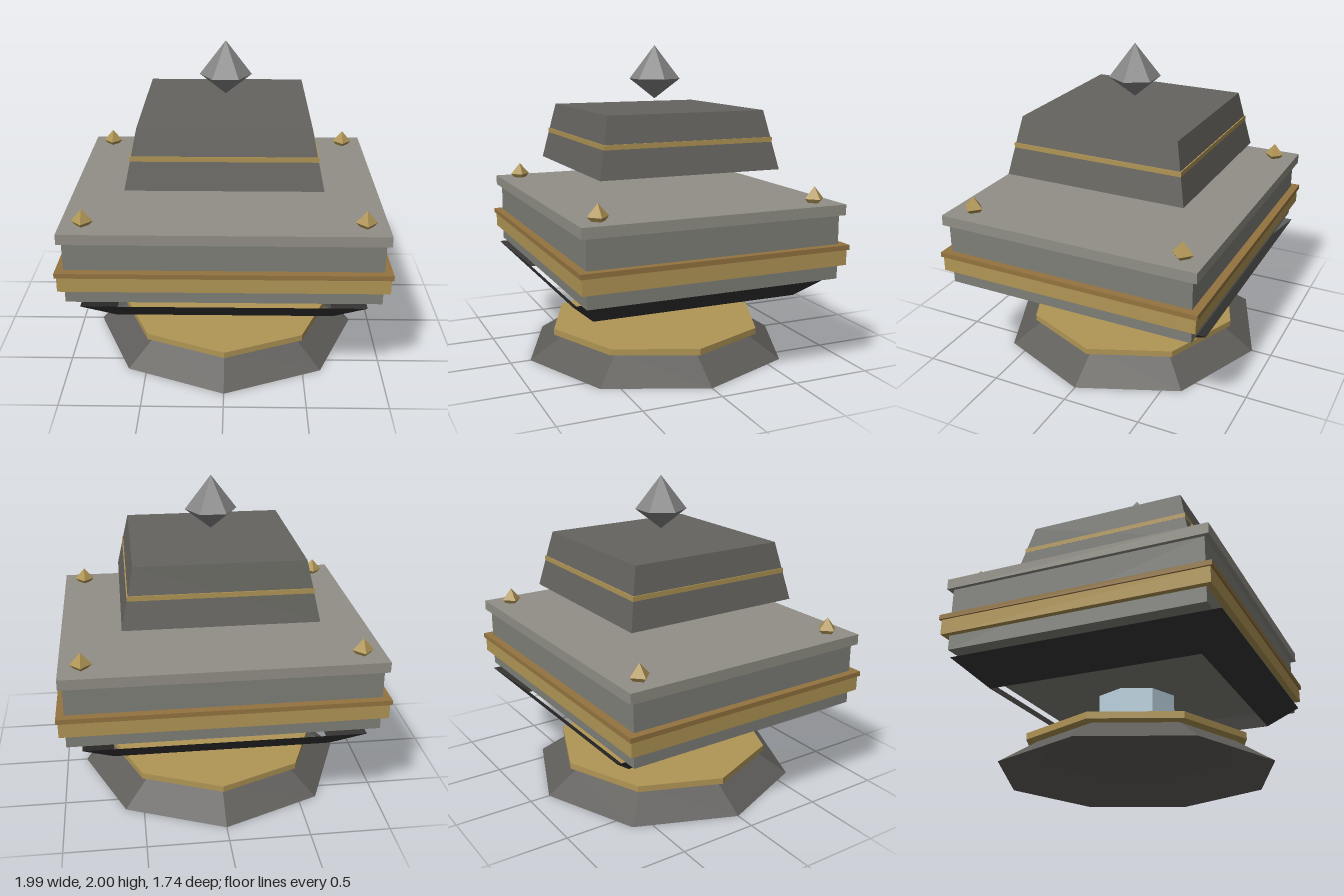
import * as THREE from 'three';

const mat = (color) => new THREE.MeshStandardMaterial({ color, flatShading: true, side: THREE.DoubleSide });
const gold = mat(0xb09555);
const darkGold = mat(0x947440);
const stone = mat(0x7f7f79);
const paleStone = mat(0x918f86);
const darkStone = mat(0x65645f);
const baseStone = mat(0x5f5d5a);
const blackStone = mat(0x353433);
const ice = mat(0xbcd3e0);
const crystal = mat(0x858585);

export function createModel() {
  const model = new THREE.Group();

  const add = (name, geometry, material) => {
    const mesh = new THREE.Mesh(geometry, material);
    mesh.name = name;
    model.add(mesh);
    return mesh;
  };

  // Faceted solid from a [radius, y] profile running bottom to top
  const faceted = (name, sides, profile, material, turn = 0) => {
    const points = profile.map(([r, y]) => new THREE.Vector2(r, y));
    return add(name, new THREE.LatheGeometry(points, sides).rotateY(turn), material);
  };

  // Square version, where the profile gives half the side length
  const square = (name, profile, material) =>
    faceted(name, 4, profile.map(([h, y]) => [h * Math.SQRT2, y]), material, Math.PI / 4);

  // Box given by half width, half depth, bottom and top
  const slab = (name, hx, hz, y0, y1, material) =>
    add(name, new THREE.BoxGeometry(hx * 2, y1 - y0, hz * 2).translate(0, (y0 + y1) / 2, 0), material);

  // Octagonal foot, hollow underneath, with a gold plate on it
  faceted('foot', 8, [[0.87, 0], [0.64, 0.147], [0, 0.147]], baseStone);
  faceted('footPlate', 8, [[0, 0.15], [0.708, 0.15], [0.708, 0.19], [0, 0.19]], gold);

  // Glowing core and the open tapered skirt around it
  faceted('core', 8, [[0, 0.33], [0.253, 0.33], [0.253, 0.49], [0, 0.49]], ice);
  square('skirt', [[0.67, 0.44], [0.85, 0.603]], blackStone);

  // Main block with its bands and lid
  slab('body', 0.945, 0.8, 0.605, 1.0, stone);
  slab('band', 0.982, 0.838, 0.695, 0.79, gold);
  slab('bandTrim', 0.993, 0.85, 0.79, 0.82, darkGold);
  slab('lid', 0.97, 0.832, 1.0, 1.065, paleStone);

  // Corner studs
  for (const x of [-0.835, 0.835]) {
    for (const z of [-0.692, 0.692]) {
      faceted('cornerStud', 4, [[0, 1.02], [0.065, 1.09], [0, 1.165]], gold).position.set(x, 0, z);
    }
  }

  // Floating tapered cap with a thin gold stripe
  square('cap', [[0, 1.24], [0.59, 1.24], [0.513, 1.605], [0, 1.605]], darkStone);
  slab('capStripe', 0.555, 0.555, 1.41, 1.44, gold);

  // Floating six-sided crystal
  faceted('topCrystal', 6, [[0, 1.66], [0.163, 1.787], [0, 2]], crystal, Math.PI / 2);

  return model;
}
